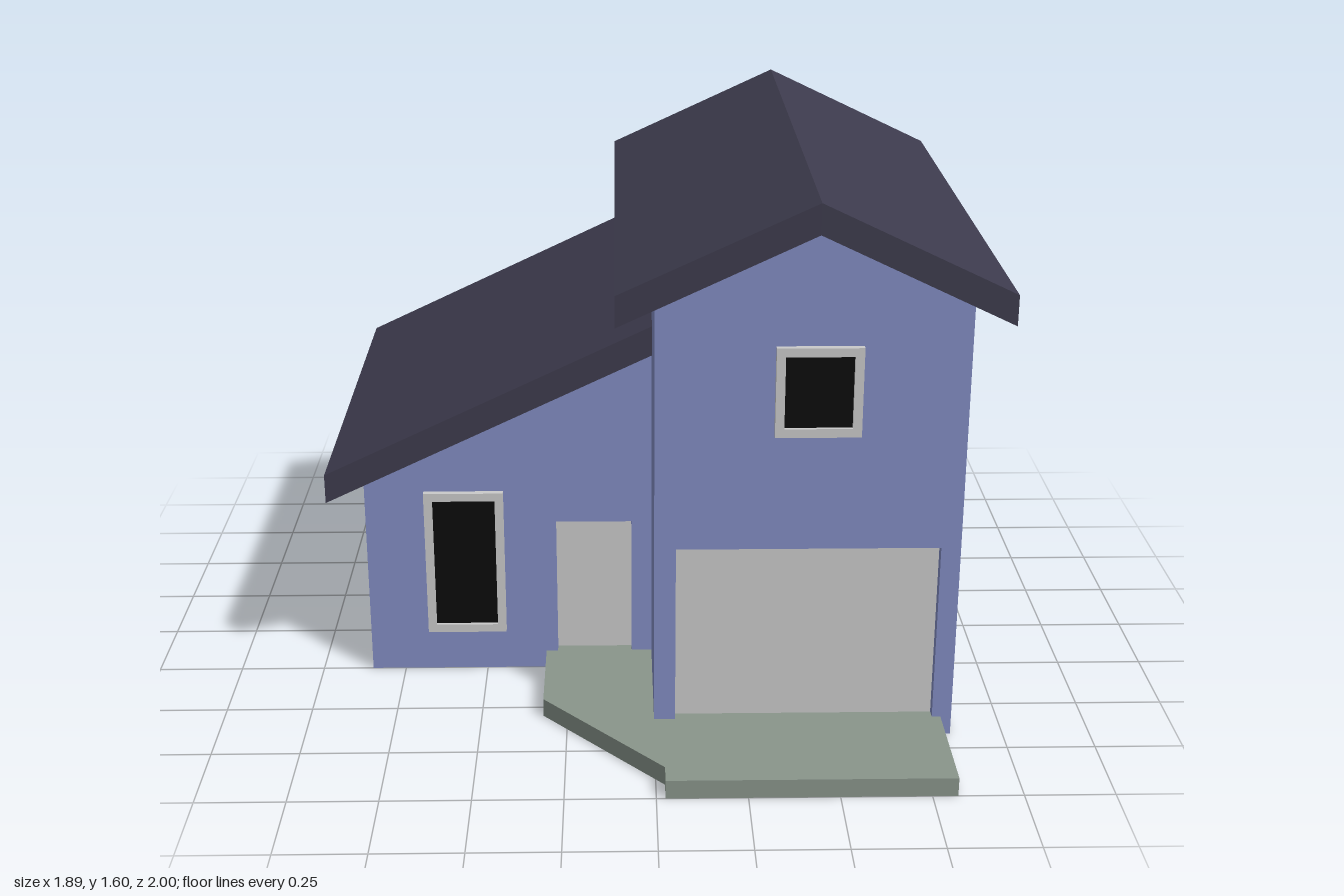
import * as THREE from 'three';

const mat = (name, color, side = THREE.FrontSide) => {
  const m = new THREE.MeshStandardMaterial({ color, side });
  m.name = name;
  return m;
};

export function createModel() {
  const house = new THREE.Group();
  house.name = 'house';
  const wall = mat('wallBlue', 0x828cc2);
  const roof = mat('roofSlate', 0x3d3b4d);
  const trim = mat('trimGrey', 0xcacaca);
  const glass = mat('glassBlack', 0x0b0b0b);
  const stone = mat('patioGreen', 0x89958b, THREE.DoubleSide);

  const polygon = (pts) => new THREE.Shape(pts.map(([x, y]) => new THREE.Vector2(x, y)));
  const add = (name, geo, material, parent = house) => {
    const mesh = new THREE.Mesh(geo, material);
    mesh.name = name;
    parent.add(mesh);
    return mesh;
  };
  // Front-facing outline swept from z0 to z1
  const prism = (name, pts, z0, z1, material) => {
    const geo = new THREE.ExtrudeGeometry(polygon(pts), { depth: z1 - z0, bevelEnabled: false });
    return add(name, geo.translate(0, 0, z0), material);
  };
  // Notch in the bottom edge of a wall outline, for a doorway
  const doorway = (x0, x1, h) => [[x0, 0], [x0, h], [x1, h], [x1, 0]];
  const recess = 0.035;

  // Tall block with garage doorway
  const tallTop = [[0.85, 0], [0.85, 1.308], [0.425, 1.51], [0, 1.308]];
  prism('tallBlock', [[0, 0], ...tallTop], -0.916, 0.67 - recess, wall);
  prism('garageWall', [[0, 0], ...doorway(0.06, 0.795, 0.587), ...tallTop], 0.67 - recess, 0.67, wall);

  // Low wing with front doorway and back patio doorway
  const wingTop = [[0, 0], [0, 1.04], [-0.85, 0.637]];
  prism('wing', [[-0.85, 0], ...wingTop], -0.92 + recess, 0.25 - recess, wall);
  prism('wingFrontWall', [[-0.85, 0], ...doorway(-0.285, -0.06, 0.485), ...wingTop], 0.25 - recess, 0.25, wall);
  prism('wingBackWall', [[-0.85, 0], ...doorway(-0.735, -0.015, 0.587), ...wingTop], -0.92, -0.92 + recess, wall);

  // Thin door panels at the back of each recess
  const panel = (name, x0, x1, h, z, material) =>
    add(name, new THREE.BoxGeometry(x1 - x0, h, 0.006), material).position.set((x0 + x1) / 2, h / 2, z);
  panel('garageDoor', 0.06, 0.795, 0.587, 0.67 - recess + 0.001, trim);
  panel('frontDoor', -0.285, -0.06, 0.485, 0.25 - recess + 0.001, trim);
  panel('backGlassDoor', -0.735, -0.015, 0.587, -0.92 + recess - 0.001, glass);

  // Roofs
  prism('gableRoof', [[-0.105, 1.262], [0.425, 1.51], [0.945, 1.262], [0.945, 1.347],
    [0.425, 1.595], [-0.105, 1.35]], -0.985, 0.76, roof);
  prism('wingRoof', [[-0.95, 0.59], [0, 1.04], [0, 1.127], [-0.95, 0.677]], -1, 0.34, roof);

  // Framed window facing +z, centred on the wall plane
  const addWindow = (name, w, h, depth, pos, turn) => {
    const group = new THREE.Group();
    group.name = name;
    const rect = (a, b) => [[-a, -b], [a, -b], [a, b], [-a, b]];
    const a = w / 2, b = h / 2, t = 0.025;
    const frame = polygon(rect(a, b));
    frame.holes.push(polygon(rect(a - t, b - t)));
    add('windowFrame', new THREE.ExtrudeGeometry(frame, { depth, bevelEnabled: false }), trim, group);
    add('windowGlass', new THREE.BoxGeometry(w - 2 * t, h - 2 * t, 0.008), glass, group).position.z = 0.004;
    group.position.set(...pos);
    group.rotation.y = turn;
    house.add(group);
  };
  addWindow('gableFrontWindow', 0.235, 0.255, 0.019, [0.442, 1.052, 0.67], 0);
  addWindow('gableBackWindow', 0.235, 0.255, 0.025, [0.442, 1.052, -0.916], Math.PI);
  addWindow('wingWindow', 0.235, 0.455, 0.019, [-0.557, 0.358, 0.25], 0);
  for (const z of [0.233, -0.482]) addWindow('sideWindow', 0.235, 0.46, 0.025, [0.85, 0.95, z], Math.PI / 2);

  // Patio slab: a top sheet with a skirt, open underneath
  const edge = [[-0.32, 0.22], [-0.32, 0.55], [0.025, 0.93], [0.025, 1], [0.82, 1], [0.82, 0.64],
    [0.03, 0.64], [0.03, 0.22]];
  const top = new THREE.ShapeGeometry(polygon(edge.map(([x, z]) => [x, -z])));
  add('patioTop', top.rotateX(-Math.PI / 2).translate(0, 0.055, 0), stone);
  for (let i = 0; i < 5; i++) {
    const [x0, z0] = edge[i], [x1, z1] = edge[i + 1];
    const side = add('patioEdge', new THREE.PlaneGeometry(Math.hypot(x1 - x0, z1 - z0), 0.055), stone);
    side.position.set((x0 + x1) / 2, 0.0275, (z0 + z1) / 2);
    side.rotation.y = Math.atan2(z0 - z1, x1 - x0);
  }
  return house;
}
